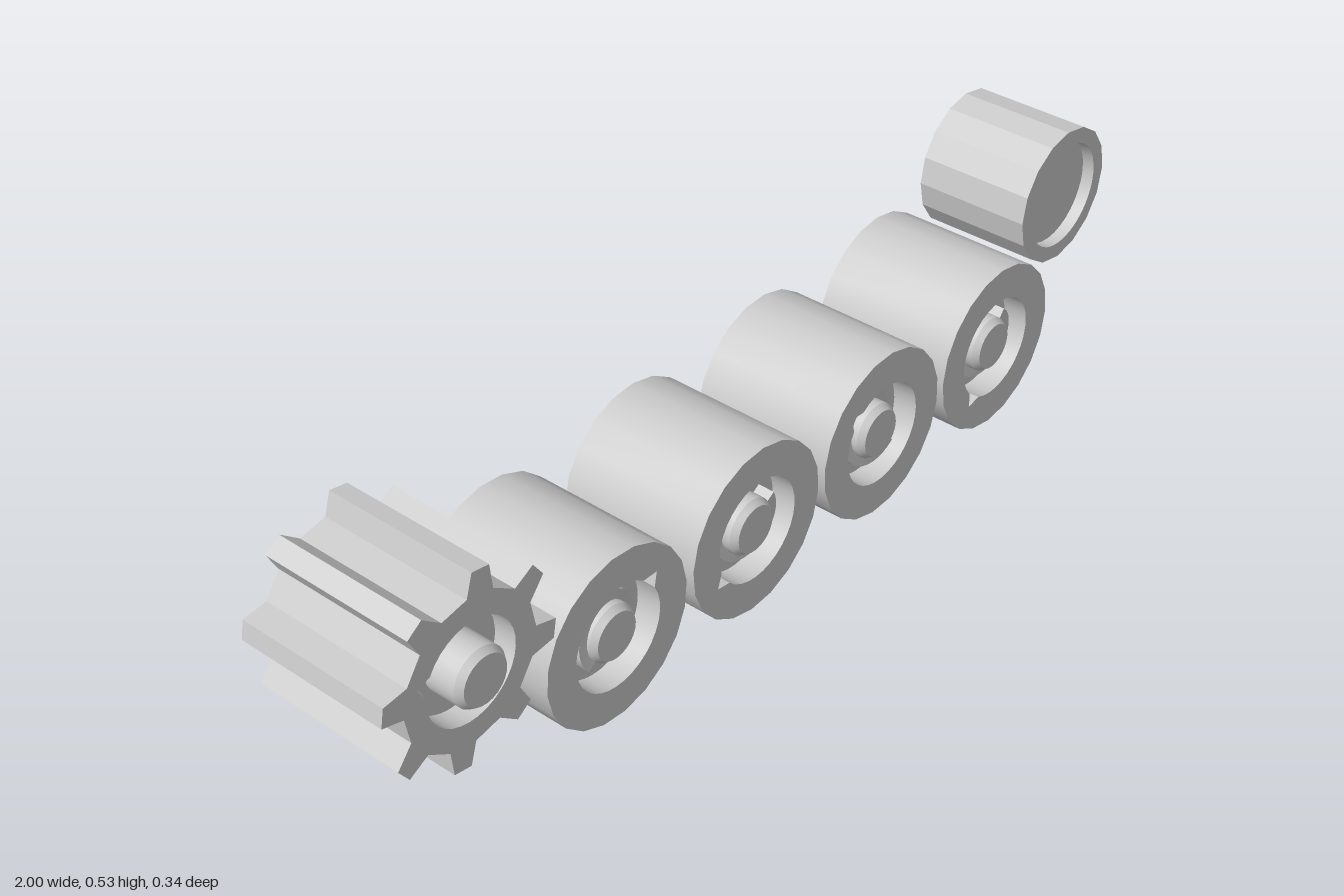
import * as THREE from 'three';
import { toCreasedNormals } from 'three/addons/utils/BufferGeometryUtils.js';

const material = new THREE.MeshStandardMaterial({ color: 0xcccccc, side: THREE.DoubleSide });

function addMesh(group, name, geometry) {
  const mesh = new THREE.Mesh(geometry, material);
  mesh.name = name;
  group.add(mesh);
}

const polar = (r, a, z = 0) => new THREE.Vector3(r * Math.cos(a), r * Math.sin(a), z);
const atZ = (points, z) => points.map((p) => new THREE.Vector3(p.x, p.y, z));

// Strip of quads between two rows of points
function ribbon(a, b, crease) {
  const pos = [];
  for (let i = 0; i < a.length - 1; i++) {
    for (const p of [a[i], b[i], b[i + 1], a[i], b[i + 1], a[i + 1]]) pos.push(p.x, p.y, p.z);
  }
  const geometry = new THREE.BufferGeometry();
  geometry.setAttribute('position', new THREE.Float32BufferAttribute(pos, 3));
  geometry.computeVertexNormals();
  return toCreasedNormals(geometry, crease);
}

function circle(r, sides, start = 0) {
  return Array.from({ length: sides + 1 }, (_, i) => polar(r, start + (i / sides) * Math.PI * 2));
}

// Ratchet gear outline
function gearOutline(teeth, root, tip, start) {
  const points = [];
  for (let i = 0; i < teeth; i++) {
    const a = start + (i / teeth) * Math.PI * 2;
    points.push(polar(root, a - 0.23), polar(tip, a - 0.1), polar(tip, a + 0.1), polar(root, a + 0.17));
  }
  points.push(points[0].clone());
  return points;
}

// Hollow drum, open at the back, with a round recess in its front plate
function drum(name, o) {
  const group = new THREE.Group();
  group.name = name;
  group.position.set(o.x, o.y, 0);
  const floorZ = o.front - o.depth;
  const floor = circle(o.recess, 32, o.mark ?? 0);
  const rim = floor.map((p) => p.clone());
  // Sloping pointer notch cut into the recess rim
  if (o.mark !== undefined) {
    rim[0] = polar(o.recess + 0.022, o.mark);
    rim[32] = rim[0].clone();
  }
  addMesh(group, 'outerWall', ribbon(atZ(o.outline, o.front), atZ(o.outline, o.back), o.crease));

  const shape = new THREE.Shape(o.outline.slice(0, -1).map((p) => new THREE.Vector2(p.x, p.y)));
  shape.holes.push(new THREE.Path(rim.slice(0, -1).reverse().map((p) => new THREE.Vector2(p.x, p.y))));
  addMesh(group, 'frontPlate', new THREE.ShapeGeometry(shape).translate(0, 0, o.front));
  addMesh(group, 'recessWall', ribbon(atZ(floor, floorZ), atZ(rim, o.front), 0.5));
  addMesh(group, 'recessFloor', new THREE.CircleGeometry(o.recess, 32).translate(0, 0, floorZ));

  // Chamfered centre knob
  if (o.knobTop) {
    const profile = [[0.056, floorZ], [0.056, o.knobTop - 0.013], [0.047, o.knobTop], [0, o.knobTop]];
    const knob = new THREE.LatheGeometry(profile.map(([r, h]) => new THREE.Vector2(r, h)), 24);
    addMesh(group, 'knob', toCreasedNormals(knob.rotateX(Math.PI / 2), 0.5));
  }

  // Spiral ramp around the knob, ending in a step
  if (o.ramp) {
    const start = o.mark + Math.PI;
    const rise = o.knobTop - 0.012 - floorZ;
    const row = (r, high) => Array.from({ length: 33 }, (_, i) =>
      polar(r, start + (i / 32) * Math.PI * 2, floorZ + (high ? (rise * i) / 32 : 0)));
    const inner = row(0.045, true), outer = row(0.075, true), base = row(0.075, false);
    addMesh(group, 'rampTop', ribbon(inner, outer, 0.5));
    addMesh(group, 'rampSide', ribbon(outer, base, 0.5));
    addMesh(group, 'rampStep', ribbon([inner[32], outer[32]], [polar(0.045, start, floorZ), base[32]], 0.5));
  }
  return group;
}

export function createModel() {
  const model = new THREE.Group();
  const deg = Math.PI / 180;

  // Toothed drive gear
  model.add(drum('gear', {
    x: -0.813, y: 0.337, front: 0.141, back: -0.169, depth: 0.045,
    outline: gearOutline(8, 0.143, 0.188, 79 * deg), crease: 0.1,
    recess: 0.097, knobTop: 0.171, mark: 161 * deg,
  }));

  // Four number drums
  [39, 211, 137, 232].forEach((mark, i) => {
    model.add(drum('drum' + (i + 1), {
      x: -0.478 + i * 0.363, y: 0.174, front: 0.136, back: -0.162, depth: 0.05,
      outline: circle(0.173, 20, mark * deg), crease: 0.6,
      recess: 0.104, knobTop: 0.132, mark: mark * deg, ramp: true,
    }));
  });

  // Plain faceted end roller
  model.add(drum('endRoller', {
    x: 0.86, y: 0.388, front: 0.107, back: -0.134, depth: 0.025,
    outline: circle(0.14, 16), crease: 0.1, recess: 0.108,
  }));
  return model;
}
